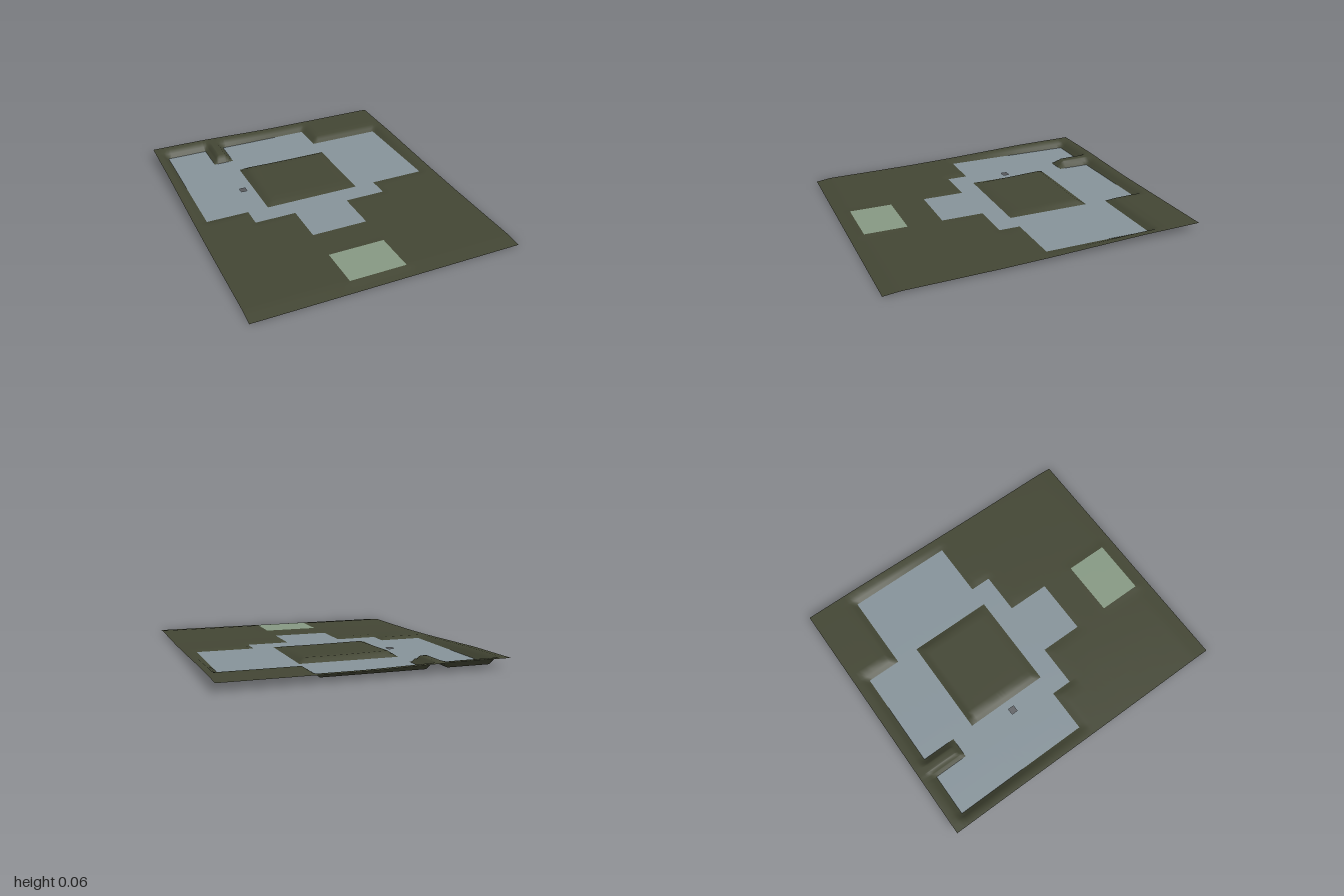
import * as THREE from 'three';

// Rectangles as [x0, x1, z0, z1]
const floorRects = [
  [-0.775, -0.5, -0.91, -0.69], [-0.365, 0.27, -0.91, -0.69],
  [-0.775, 0.77, -0.69, -0.545], [-0.775, -0.365, -0.545, 0],
  [0.27, 0.77, -0.545, 0], [-0.5, 0.405, 0, 0.135], [-0.23, 0.135, 0.135, 0.41],
];
const padRect = [-0.23, 0.135, 0.635, 0.91];
const holeRect = [-0.455, -0.415, -0.295, -0.255];
const levelRects = [...floorRects, padRect];
const LEVEL = 0.015, BANK = 0.05, HALF_X = 0.86;

const inside = (x, z, r) => x > r[0] && x < r[1] && z > r[2] && z < r[3];
const distance = (x, z, r) => Math.hypot(
  Math.max(r[0] - x, 0, x - r[1]), Math.max(r[2] - z, 0, z - r[3]));

// Natural hillside: rises to the back, a little more on the -x side
const profile = [[-1, 0.055], [-0.6, 0.049], [0, 0.026], [0.3, 0.018], [0.6, 0.014], [0.9, 0.011], [1, 0]];
function hillside(x, z) {
  let i = 0;
  while (i < profile.length - 2 && z > profile[i + 1][0]) i++;
  const [z0, y0] = profile[i], [z1, y1] = profile[i + 1];
  const y = THREE.MathUtils.lerp(y0, y1, (z - z0) / (z1 - z0));
  const tilt = THREE.MathUtils.lerp(1.17, 0.92, THREE.MathUtils.smoothstep(x, -0.6, 0.1));
  return y * tilt;
}

// Banks blend the hillside down to the level areas
function height(x, z) {
  const d = Math.min(...levelRects.map((r) => distance(x, z, r)));
  return THREE.MathUtils.lerp(LEVEL, hillside(x, z), THREE.MathUtils.smoothstep(d, 0, BANK));
}

// Grid lines on every edge and bank, with extra lines in between
function gridLines(edges, limit) {
  const marks = [-limit, limit];
  for (const e of edges) marks.push(e, e - BANK, e + BANK, e - BANK / 2, e + BANK / 2);
  const sorted = marks.filter((m) => Math.abs(m) <= limit).sort((a, b) => a - b)
    .filter((m, i, all) => i === 0 || m - all[i - 1] > 1e-6);
  const lines = [sorted[0]];
  for (let i = 1; i < sorted.length; i++) {
    const a = sorted[i - 1], n = Math.ceil((sorted[i] - a) / 0.06);
    for (let k = 1; k <= n; k++) lines.push(a + ((sorted[i] - a) * k) / n);
  }
  return lines;
}

// One surface made of the grid cells that pass a test
function surface(xs, zs, heightAt, test) {
  const positions = [], index = [], ids = new Map();
  const vertex = (i, j) => {
    const key = i * zs.length + j;
    if (!ids.has(key)) {
      ids.set(key, positions.length / 3);
      positions.push(xs[i], heightAt(xs[i], zs[j]), zs[j]);
    }
    return ids.get(key);
  };
  for (let i = 0; i < xs.length - 1; i++) {
    for (let j = 0; j < zs.length - 1; j++) {
      if (!test((xs[i] + xs[i + 1]) / 2, (zs[j] + zs[j + 1]) / 2)) continue;
      const a = vertex(i, j), b = vertex(i + 1, j), c = vertex(i, j + 1), d = vertex(i + 1, j + 1);
      index.push(a, c, b, b, c, d);
    }
  }
  const geometry = new THREE.BufferGeometry();
  geometry.setAttribute('position', new THREE.Float32BufferAttribute(positions, 3));
  geometry.setIndex(index);
  geometry.computeVertexNormals();
  return geometry;
}

export function createModel() {
  const group = new THREE.Group();
  group.name = 'sitePlot';
  const rects = [...levelRects, holeRect];
  const xs = gridLines(rects.flatMap((r) => [r[0], r[1]]), HALF_X);
  const zs = gridLines(rects.flatMap((r) => [r[2], r[3]]), 1);
  const flat = () => LEVEL;

  const add = (name, colorName, color, heightAt, test) => {
    const material = new THREE.MeshStandardMaterial({ color, side: THREE.DoubleSide });
    material.name = colorName;
    const mesh = new THREE.Mesh(surface(xs, zs, heightAt, test), material);
    mesh.name = name;
    group.add(mesh);
  };

  // Sloping ground, including the courtyard
  add('terrain', 'darkOlive', 0x434634, height,
    (x, z) => !levelRects.some((r) => inside(x, z, r)));
  // Level building floor with a small square opening
  add('buildingFloor', 'blueGrey', 0x86939a, flat,
    (x, z) => floorRects.some((r) => inside(x, z, r)) && !inside(x, z, holeRect));
  // Separate level pad at the front
  add('frontPad', 'sageGreen', 0x869983, flat, (x, z) => inside(x, z, padRect));
  return group;
}
